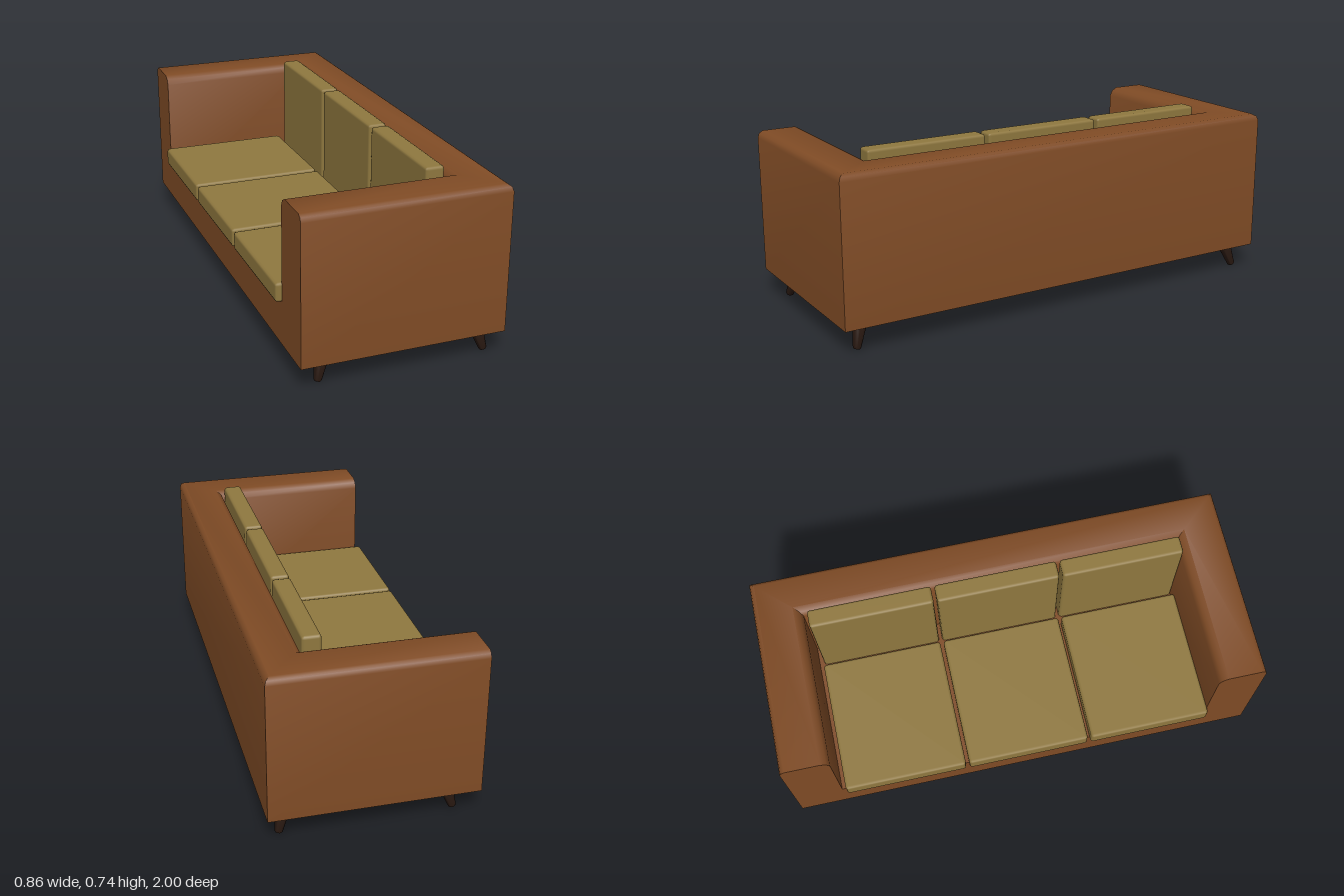
import * as THREE from 'three';
import { toCreasedNormals } from 'three/addons/utils/BufferGeometryUtils.js';
import { RoundedBoxGeometry } from 'three/addons/geometries/RoundedBoxGeometry.js';

const shell = new THREE.MeshStandardMaterial({ color: 0x7f4b25 });
const fabric = new THREE.MeshStandardMaterial({ color: 0x8f783f });
const wood = new THREE.MeshStandardMaterial({ color: 0x2b1a12 });

function add(parent, name, geometry, material, x = 0, y = 0, z = 0) {
  const mesh = new THREE.Mesh(geometry, material);
  mesh.name = name;
  mesh.position.set(x, y, z);
  parent.add(mesh);
  return mesh;
}

// Arms and back: one wall section swept around a mitred U
function wallGeometry() {
  // [fraction from outer to inner side, height]
  const profile = [
    [0, 0.105], [0, 0.68], [0.03, 0.698], [0.11, 0.708],
    [0.82, 0.708], [0.94, 0.695], [1, 0.67], [1, 0.105],
  ];
  // plan corners: outer x, outer z, inner x, inner z
  const stations = [
    [-0.405, -1, -0.405, -0.8], [0.43, -1, 0.25, -0.8],
    [0.43, 1, 0.25, 0.8], [-0.405, 1, -0.405, 0.8],
  ];
  const n = profile.length;
  const positions = [];
  for (const [ox, oz, ix, iz] of stations) {
    for (const [t, y] of profile) positions.push(ox + (ix - ox) * t, y, oz + (iz - oz) * t);
  }
  const index = [];
  for (let i = 0; i < 3; i++) {
    for (let j = 0; j < n; j++) {
      const k = (j + 1) % n;
      const a = i * n + j, b = i * n + k, c = a + n, d = b + n;
      index.push(a, b, c, b, d, c);
    }
  }
  // front ends of the arms
  for (let k = 1; k < n - 1; k++) {
    index.push(0, k + 1, k, 3 * n, 3 * n + k, 3 * n + k + 1);
  }
  const geometry = new THREE.BufferGeometry();
  geometry.setAttribute('position', new THREE.Float32BufferAttribute(positions, 3));
  geometry.setIndex(index);
  return toCreasedNormals(geometry, 0.7);
}

// Cushion given by its extents
function cushion(parent, name, x0, x1, y0, y1, z0, z1) {
  const geometry = new RoundedBoxGeometry(x1 - x0, y1 - y0, z1 - z0, 1, 0.012);
  add(parent, name, geometry, fabric, (x0 + x1) / 2, (y0 + y1) / 2, (z0 + z1) / 2);
}

// Tapered leg splayed outwards, with a softened foot
function leg(parent, top, bottom) {
  const axis = top.clone().sub(bottom);
  const length = axis.length();
  const profile = [[0, 0], [0.011, 0], [0.016, 0.006], [0.031, length], [0, length]]
    .map(([r, y]) => new THREE.Vector2(r, y));
  const geometry = toCreasedNormals(new THREE.LatheGeometry(profile, 20), 0.7);
  const mesh = add(parent, 'leg', geometry, wood, bottom.x, bottom.y, bottom.z);
  mesh.quaternion.setFromUnitVectors(new THREE.Vector3(0, 1, 0), axis.normalize());
}

export function createModel() {
  const sofa = new THREE.Group();
  sofa.name = 'sofa';

  add(sofa, 'armsAndBack', wallGeometry(), shell);
  add(sofa, 'seatBase', new THREE.BoxGeometry(0.655, 0.18, 1.6), shell, -0.0775, 0.195, 0);

  // Three seat cushions and three upright back cushions
  for (let i = 0; i < 3; i++) {
    const z = -0.78 + i * 0.532;
    cushion(sofa, 'seatCushion', -0.43, 0.14, 0.283, 0.362, z, z + 0.517);
    cushion(sofa, 'backCushion', 0.168, 0.246, 0.27, 0.736, z, z + 0.517);
  }

  // Four legs, mirrored across the length
  for (const side of [-1, 1]) {
    for (const [xTop, xFoot] of [[-0.283, -0.316], [0.347, 0.377]]) {
      leg(sofa, new THREE.Vector3(xTop, 0.112, side * 0.903), new THREE.Vector3(xFoot, 0.004, side * 0.934));
    }
  }
  return sofa;
}
